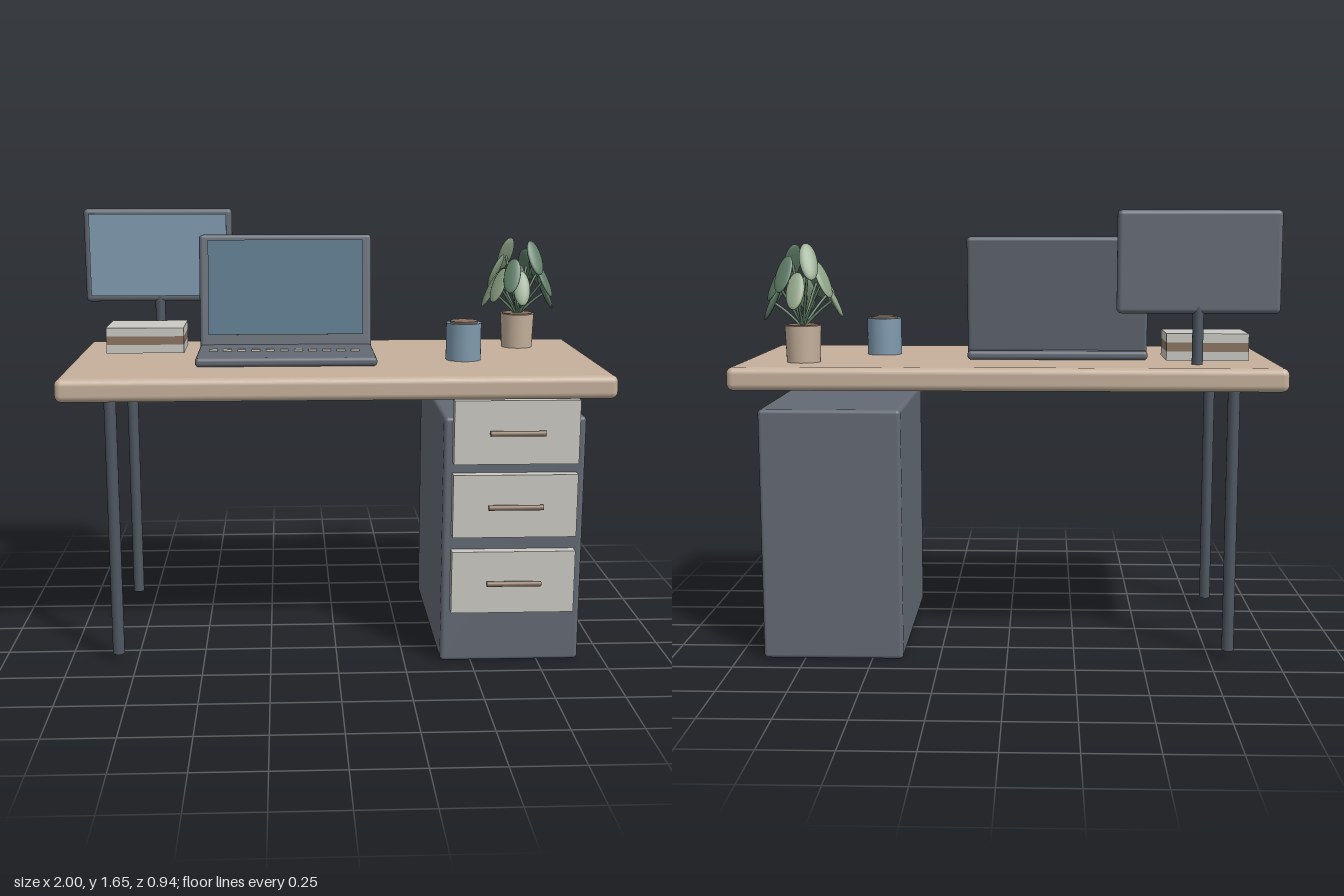
import * as THREE from 'three';
import { RoundedBoxGeometry } from 'three/addons/geometries/RoundedBoxGeometry.js';

const material = (name, color) => {
  const m = new THREE.MeshStandardMaterial({ color });
  m.name = name;
  return m;
};

export function createModel() {
  const model = new THREE.Group();
  model.name = 'desk';

  const wood = material('wood', 0xc5b09b);
  const slate = material('slate', 0x636a74);
  const darkMetal = material('darkMetal', 0x4e5661);
  const offWhite = material('offWhite', 0xcac9c3);
  const brown = material('brown', 0x8a7362);
  const blue = material('blue', 0x7f9aae);
  const deepBlue = material('deepBlue', 0x527285);
  const darkGreen = material('darkGreen', 0x5f7d67);
  const lightGreen = material('lightGreen', 0x8ea386);

  const add = (name, geometry, mat, x, y, z, parent = model) => {
    const mesh = new THREE.Mesh(geometry, mat);
    mesh.name = name;
    mesh.position.set(x, y, z);
    parent.add(mesh);
    return mesh;
  };
  const group = (name) => {
    const g = new THREE.Group();
    g.name = name;
    model.add(g);
    return g;
  };
  const box = (w, h, d) => new THREE.BoxGeometry(w, h, d);
  const rounded = (w, h, d, r) => new RoundedBoxGeometry(w, h, d, 4, r);
  const rod = (r, h, rBottom = r) => new THREE.CylinderGeometry(r, rBottom, h, 32);

  // Table top and the two legs on the open side
  add('tableTop', rounded(2, 0.085, 0.935, 0.025), wood, 0, 1.053, 0);
  for (const z of [0.35, -0.35]) add('leg', rod(0.022, 0.985), darkMetal, -0.82, 0.525, z);

  // Drawer cabinet
  const cabinet = group('cabinet');
  add('cabinetBody', rounded(0.52, 0.935, 0.8, 0.015), slate, 0.645, 0.468, 0, cabinet);
  for (const y of [0.887, 0.612, 0.322]) {
    add('drawerFront', box(0.455, 0.235, 0.04), offWhite, 0.645, y, 0.42, cabinet);
    const handle = add('drawerHandle', rod(0.01, 0.2), brown, 0.645, y, 0.458, cabinet);
    handle.rotation.z = Math.PI / 2;
  }

  // Monitor on a slim post
  const monitor = group('monitor');
  add('monitorBody', rounded(0.59, 0.37, 0.038, 0.017), slate, -0.69, 1.465, -0.307, monitor);
  add('monitorScreen', box(0.545, 0.325, 0.008), blue, -0.69, 1.467, -0.279, monitor);
  add('monitorPost', rod(0.02, 0.21), darkMetal, -0.69, 1.2, -0.307, monitor);

  // Stack of books
  const books = group('books');
  [offWhite, brown, offWhite].forEach((mat, i) =>
    add('book', box(0.3, 0.033, 0.225), mat, -0.73, 1.122 + i * 0.033, -0.168, books));

  // Laptop with a tilted lid and a row of keys
  const laptop = group('laptop');
  add('laptopBase', rounded(0.675, 0.034, 0.41, 0.014), slate, -0.183, 1.113, 0.027, laptop);
  for (let i = 0; i < 11; i++) {
    add('key', box(0.033, 0.008, 0.027), offWhite, -0.46 + i * 0.054, 1.133, 0.058, laptop);
  }
  const lid = new THREE.Group();
  lid.name = 'laptopLid';
  lid.position.set(-0.183, 1.327, -0.15);
  lid.rotation.x = -0.147;
  laptop.add(lid);
  add('lidShell', rounded(0.675, 0.458, 0.034, 0.014), slate, 0, 0, 0, lid);
  add('laptopScreen', box(0.605, 0.37, 0.008), deepBlue, 0, 0.022, 0.026, lid);

  // Mug with a drink
  const mug = group('mug');
  add('mugBody', rod(0.067, 0.142), blue, 0.495, 1.166, 0.07, mug);
  add('drink', rod(0.052, 0.008), brown, 0.495, 1.24, 0.07, mug);

  // Potted plant
  const plant = group('plant');
  const px = 0.757, pz = -0.25;
  add('pot', rod(0.067, 0.135, 0.062), wood, px, 1.163, pz, plant);
  add('soil', rod(0.06, 0.008), brown, px, 1.23, pz, plant);

  // Leaves: offset x, height, offset z from the pot axis
  const leaves = [
    [0.05, 1.46, 0.08], [-0.04, 1.465, -0.08], [0.05, 1.42, -0.09],
    [-0.115, 1.325, 0.01], [0.11, 1.315, 0.0], [-0.09, 1.35, 0.065],
    [0.095, 1.37, 0.055], [-0.085, 1.4, -0.045], [0.085, 1.39, -0.05],
    [0.0, 1.34, 0.085], [-0.04, 1.39, 0.09], [0.01, 1.36, -0.085],
  ];
  const leafGeometry = new THREE.SphereGeometry(1, 20, 12).scale(0.034, 0.073, 0.011);
  const root = new THREE.Vector3(px, 1.22, pz);
  leaves.forEach(([dx, y, dz], i) => {
    const green = i % 2 ? lightGreen : darkGreen;
    const centre = new THREE.Vector3(px + dx, y, pz + dz);
    const leaf = add('leaf', leafGeometry, green, ...centre.toArray(), plant);
    // Each blade faces outward and droops away from the middle
    const out = new THREE.Vector3(dx, 0, dz).normalize();
    const normal = out.clone().setY(0.48).normalize();
    const axis = out.multiplyScalar(-0.48).setY(1).normalize();
    const side = axis.clone().cross(normal);
    leaf.quaternion.setFromRotationMatrix(new THREE.Matrix4().makeBasis(side, axis, normal));

    const bend = root.clone().lerp(centre, 0.5);
    bend.y += 0.015;
    const path = new THREE.QuadraticBezierCurve3(root, bend, centre);
    add('stem', new THREE.TubeGeometry(path, 8, 0.005, 8), darkGreen, 0, 0, 0, plant);
  });

  return model;
}
